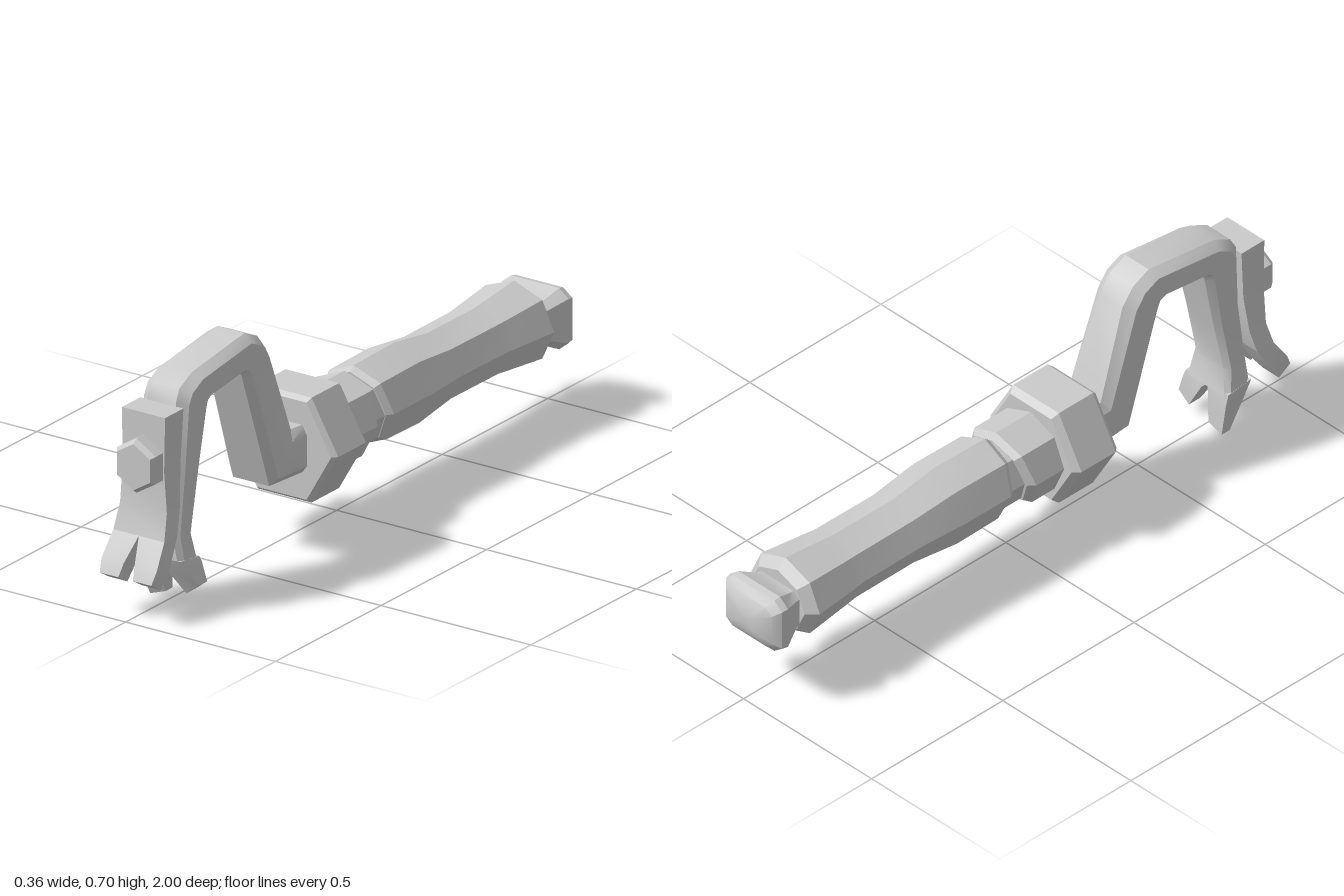
import * as THREE from 'three';
import { toCreasedNormals } from 'three/addons/utils/BufferGeometryUtils.js';

const material = new THREE.MeshStandardMaterial({ color: 0xcccccc });
const V = (x, y, z) => new THREE.Vector3(x, y, z);

// Closed solid skinned over cross-sections that share a point count
function loft(name, sections) {
  const tris = [];
  const n = sections[0].length;
  for (let s = 0; s < sections.length - 1; s++) {
    const a = sections[s], b = sections[s + 1];
    for (let i = 0; i < n; i++) {
      const j = (i + 1) % n;
      tris.push([a[i], a[j], b[j]], [a[i], b[j], b[i]]);
    }
  }
  const cap = (ring, flip) => {
    const c = V(0, 0, 0);
    ring.forEach(p => c.addScaledVector(p, 1 / n));
    ring.forEach((p, i) => {
      const q = ring[(i + 1) % n];
      tris.push(flip ? [c, q, p] : [c, p, q]);
    });
  };
  cap(sections[0], true);
  cap(sections[sections.length - 1], false);
  // A positive enclosed volume means the faces point outward
  let volume = 0;
  for (const [a, b, c] of tris) volume += a.dot(b.clone().cross(c));
  const pos = [];
  for (const t of tris) for (const p of volume < 0 ? [t[0], t[2], t[1]] : t) pos.push(p.x, p.y, p.z);
  const geo = new THREE.BufferGeometry();
  geo.setAttribute('position', new THREE.Float32BufferAttribute(pos, 3));
  const mesh = new THREE.Mesh(toCreasedNormals(geo, 0.5), material);
  mesh.name = name;
  return mesh;
}

// Regular polygon across the z axis; slant shifts z with height
function ngon(sides, z, rx, ry, cy, start = 0, slant = 0) {
  return Array.from({ length: sides }, (_, i) => {
    const a = start + i / sides * Math.PI * 2;
    const dy = Math.sin(a) * ry;
    return V(Math.cos(a) * rx, cy + dy, z + slant * dy);
  });
}

// Square with cut corners across the z axis
function cutSquare(z, hx, hy, cy) {
  const k = 0.72;
  return [[1, -k], [1, k], [k, 1], [-k, 1], [-1, k], [-1, -k], [-k, -1], [k, -1]]
    .map(([x, y]) => V(x * hx, cy + y * hy, z));
}

// Four-cornered section: left and right edge as [x, y], front and back as [z, y drop]
const slab = ([x0, y0], [x1, y1], zf, zb, drop = 0) => [
  V(x0, y0, zf), V(x1, y1, zf), V(x1, y1 - drop, zb), V(x0, y0 - drop, zb)];

// Arm section from an outer and an inner [z, y], with chamfered edges
function armSection([oz, oy], [iz, iy], w, a, b) {
  return [[0, a], [0.2, w], [0.85, w], [1, b], [1, -b], [0.85, -w], [0.2, -w], [0, -a]]
    .map(([t, x]) => V(x, oy + (iy - oy) * t, oz + (iz - oz) * t));
}

export function createModel() {
  const model = new THREE.Group();
  model.name = 'hookedTool';

  // Waisted eight-sided grip with a slanted front end
  const grip = [
    [-0.08, 0.108, 0.108, 0.16], [-0.10, 0.122, 0.122, 0.16], [-0.27, 0.122, 0.126, 0],
    [-0.43, 0.112, 0.102, 0], [-0.65, 0.114, 0.102, 0],
    [-0.70, 0.12, 0.107, 0], [-0.84, 0.134, 0.122, 0], [-0.87, 0.105, 0.095, 0],
  ];
  model.add(loft('grip', grip.map(([z, rx, ry, s]) => ngon(8, z, rx, ry, 0.28, 0, s))));

  // Core seen in the groove, and the ring ahead of it
  model.add(loft('gripCore', [0.12, -0.12].map(z => ngon(8, z, 0.105, 0.105, 0.278))));
  model.add(loft('ferrule', [
    ngon(8, 0.11, 0.13, 0.125, 0.275),
    ngon(8, -0.01, 0.13, 0.125, 0.275, 0, -0.22),
    ngon(8, -0.03, 0.112, 0.108, 0.275, 0, -0.22),
  ]));

  // Pommel flaring to a domed end
  const pommel = [
    [-0.84, 0.085, 0.062], [-0.88, 0.085, 0.062], [-0.94, 0.112, 0.09], [-0.96, 0.11, 0.086],
    [-0.98, 0.09, 0.066], [-0.994, 0.055, 0.042], [-1, 0.025, 0.02],
  ];
  model.add(loft('pommel', pommel.map(([z, hx, hy]) => cutSquare(z, hx, hy, 0.275))));

  // Large hexagonal collar nut
  const nut = [[0.095, 0.16], [0.115, 0.178], [0.245, 0.178], [0.26, 0.165]];
  model.add(loft('collarNut', nut.map(([z, r]) => ngon(6, z, r, r, 0.28))));

  // Bent arm: outer point, inner point, half width, outer and inner flat half widths
  const arm = [
    [[0.24, 0.354], [0.24, 0.215], 0.085, 0.07, 0.07],
    [[0.303, 0.354], [0.405, 0.22], 0.08, 0.06, 0.06],
    [[0.40, 0.62], [0.522, 0.565], 0.075, 0.045, 0.055],
    [[0.44, 0.67], [0.53, 0.588], 0.075, 0.045, 0.055],
    [[0.50, 0.698], [0.545, 0.592], 0.075, 0.045, 0.055],
    [[0.75, 0.665], [0.69, 0.575], 0.075, 0.045, 0.055],
    [[0.81, 0.635], [0.70, 0.568], 0.075, 0.045, 0.055],
    [[0.83, 0.60], [0.705, 0.55], 0.075, 0.048, 0.055],
    [[0.835, 0.40], [0.742, 0.38], 0.07, 0.05, 0.05],
    [[0.855, 0.22], [0.78, 0.21], 0.07, 0.055, 0.05],
    [[0.855, 0.15], [0.765, 0.13], 0.082, 0.07, 0.07],
  ];
  model.add(loft('bentArm', arm.map(s => armSection(...s))));

  // Two uneven prongs below the arm
  model.add(loft('rearProngLeft', [
    slab([0, 0.145], [0.082, 0.15], 0.855, 0.768, 0.01),
    slab([0.02, 0.115], [0.088, 0.125], 0.842, 0.764),
    slab([0.062, 0.035], [0.102, 0.066], 0.80, 0.758),
  ]));
  model.add(loft('rearProngRight', [
    slab([-0.082, 0.15], [0, 0.145], 0.855, 0.768, 0.01),
    slab([-0.078, 0.10], [-0.009, 0.10], 0.832, 0.762),
    slab([-0.067, 0.002], [-0.015, 0.02], 0.788, 0.757),
  ]));

  // Front clamp plate, curving forward into a split foot
  const plate = [
    [0.59, 0.072, 0.915, 0.828], [0.43, 0.069, 0.915, 0.838],
    [0.31, 0.078, 0.915, 0.853], [0.235, 0.085, 0.937, 0.875],
  ];
  model.add(loft('clampPlate', plate.map(([y, w, zf, zb]) => slab([-w, y], [w, y], zf, zb))));
  for (const side of [1, -1]) {
    const foot = [
      slab([0, 0.235], [side * 0.085, 0.235], 0.937, 0.875),
      slab([side * 0.018, 0.165], [side * 0.092, 0.165], 0.983, 0.922, 0.015),
      slab([side * 0.024, 0.128], [side * 0.086, 0.128], 1, 0.957, 0.026),
    ];
    model.add(loft(side > 0 ? 'clampFootLeft' : 'clampFootRight', foot));
  }

  // Hexagonal bolt head on the plate
  const bolt = [[0.90, 0.08], [0.948, 0.08], [0.963, 0.068]];
  model.add(loft('boltHead', bolt.map(([z, r]) => ngon(6, z, r * 0.93, r, 0.445, Math.PI / 6))));

  return model;
}
